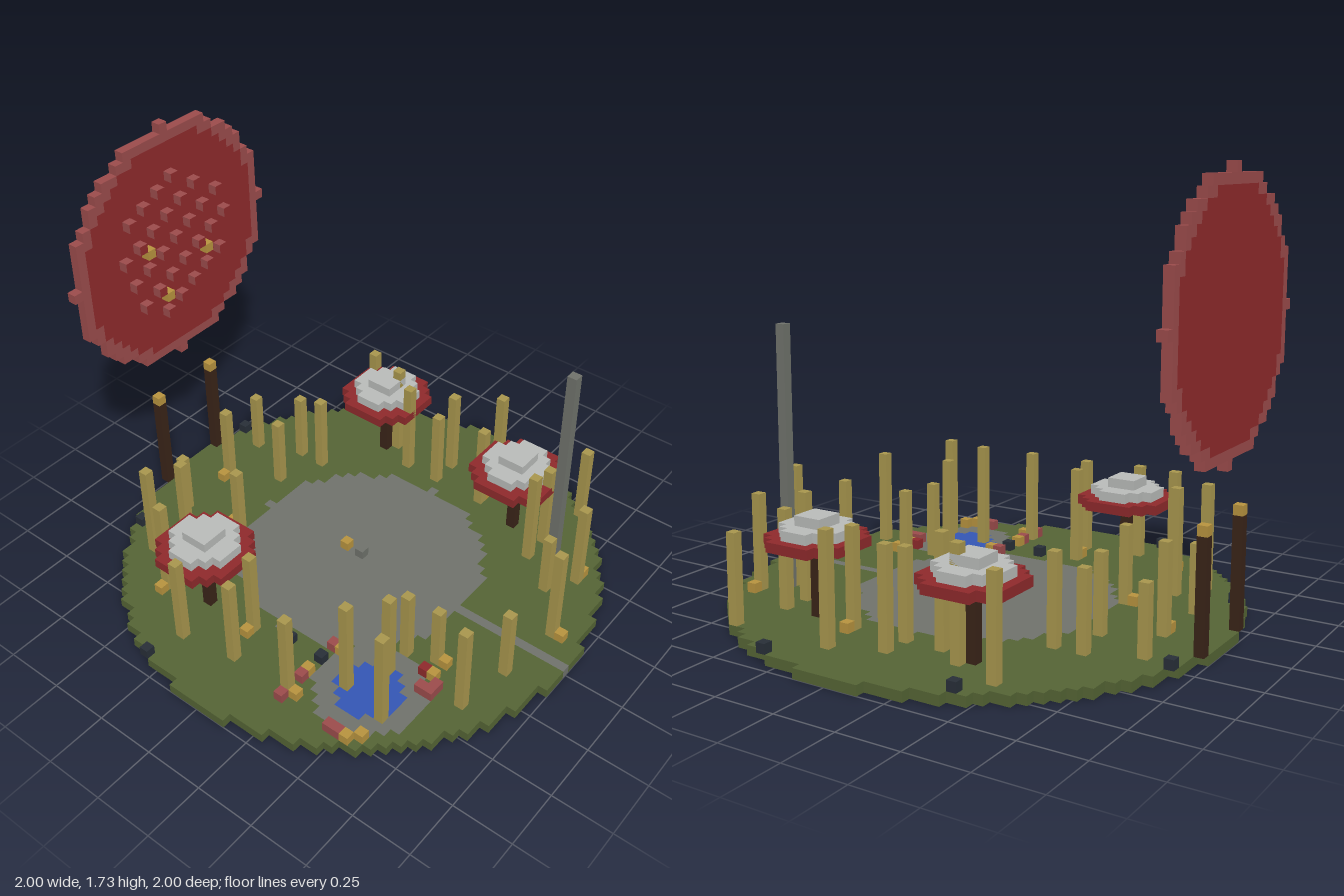
import * as THREE from 'three';
import { mergeGeometries } from 'three/addons/utils/BufferGeometryUtils.js';

const U = 2 / 51; // size of one block

const mat = (name, color) => {
  const m = new THREE.MeshStandardMaterial({ color });
  m.name = name;
  return m;
};

export function createModel() {
  const M = {
    grass: mat('grass', 0x556535),
    stone: mat('stone', 0x70736c),
    paleStone: mat('pale stone', 0xbabcba),
    straw: mat('straw', 0xa9974e),
    gold: mat('gold', 0xb8943f),
    slate: mat('slate', 0x282f38),
    water: mat('water', 0x3457b5),
    wood: mat('dark wood', 0x3a2418),
    red: mat('red', 0x8f2a2c),
    rose: mat('rose', 0x9c4c4c),
  };
  const model = new THREE.Group();

  // Box covering whole blocks; x and z are block centres, y counts layers from the ground
  const block = (x, y, z, w = 1, h = 1, d = 1) =>
    new THREE.BoxGeometry(w * U, h * U, d * U).translate(x * U, (y + h / 2) * U, z * U);

  const add = (name, material, geos, parent = model) => {
    const mesh = new THREE.Mesh(mergeGeometries(geos), material);
    mesh.name = name;
    parent.add(mesh);
    return mesh;
  };

  // Fills a one-block-thick layer with row-wise runs, sorted by the colour pick(a, b) returns
  const layer = (r, pick, make) => {
    const out = {};
    for (let b = -r; b <= r; b++) {
      let start = -r;
      for (let a = -r; a <= r; a++) {
        const c = pick(a, b);
        if (a < r && pick(a + 1, b) === c) continue;
        if (c) (out[c] ??= []).push(make((start + a) / 2, b, a - start + 1));
        start = a + 1;
      }
    }
    return out;
  };

  // Ground disc with plaza, path and pond
  const ground = layer(25, (x, z) => {
    const d = x * x + z * z;
    const p = (x + 14) ** 2 + (z - 12) ** 2;
    if (d > 635) return null;
    if (p <= 10) return 'water';
    if (p <= 30 || d <= 169 || (x === 0 && z > 0)) return 'stone';
    return 'grass';
  }, (x, z, w) => block(x, 0, z, w));
  const groundNames = { grass: 'meadow', stone: 'plazaAndPath', water: 'pond' };
  for (const c in ground) add(groundNames[c], M[c], ground[c]);

  // Upright round shield at the back
  const shield = new THREE.Group();
  shield.name = 'shield';
  model.add(shield);
  const plate = layer(13, (x, y) => {
    const d = x * x + y * y;
    return d > 169 ? null : d >= 144 ? 'rose' : 'red';
  }, (x, y, w) => block(x, 30 + y, -25, w));
  add('shieldRim', M.rose, plate.rose, shield);
  add('shieldFace', M.red, plate.red, shield);

  // Studs on a slanted lattice, red in front and rose on the sides
  for (let y = -8; y <= 8; y++) {
    for (let x = -8; x <= 8; x++) {
      if (x * x + y * y > 64 || (((x - 2 * y) % 7) + 7) % 7 !== 5) continue;
      const stud = new THREE.Mesh(block(x, 30 + y, -24),
        [M.rose, M.rose, M.rose, M.rose, M.red, M.rose]);
      stud.name = 'shieldStud';
      shield.add(stud);
    }
  }
  add('goldStuds', M.gold, [[-4, 1], [4, -2], [-2, -5]].map(([x, y]) => block(x, 30 + y, -24)), shield);

  // Round-roofed shelters on a single trunk
  for (const [x, z] of [[-15, -8], [16, -9], [14, 10]]) {
    const hut = new THREE.Group();
    hut.name = 'shelter';
    hut.position.set(x * U, 0, z * U);
    model.add(hut);
    const disc = (r, r2, y) =>
      layer(r, (a, b) => (a * a + b * b <= r2 ? 'c' : null), (a, b, w) => block(a, y, b, w)).c;
    add('trunk', M.wood, [block(0, 1, 0, 1, 7)], hut);
    add('roofEaves', M.red, disc(4, 20, 8), hut);
    add('roofTop', M.paleStone, [...disc(3, 10, 9), block(0, 10, 0, 3, 1, 3)], hut);
  }

  // Straw poles: x, z, height
  const poles = [
    [1, -20, 9], [-6, -20, 7], [-13, -18, 11], [7, -21, 7], [-10, -16, 11], [9, -16, 8],
    [4, -15, 8], [-5, -13, 8], [9, -13, 9], [-16, -13, 11], [19, -13, 10], [17, -8, 11],
    [-20, -7, 10], [15, -5, 11], [-15, -2, 10], [-19, -1, 10], [15, -1, 9], [18, -1, 10],
    [20, 4, 11], [15, 5, 10], [-19, 6, 10], [-15, 10, 11], [-11, 12, 10], [-8, 12, 8],
    [-16, 15, 11], [-7, 15, 7], [20, 15, 9], [14, 14, 10], [11, 14, 11], [8, 18, 7],
    [11, 20, 10], [-10, 20, 10], [-4, 21, 8], [3, 22, 11],
  ];
  add('poles', M.straw, poles.map(([x, z, h]) => block(x, 1, z, 1, h)));

  // Loose blocks on the ground
  const scatter = (name, material, list) =>
    add(name, material, list.map(([x, z]) => block(x, 1, z)));
  scatter('goldBlocks', M.gold, [
    [0, -20], [-5, -14], [-17, -13], [-15, -13], [-16, -2], [0, -2], [16, 5], [-19, 7],
    [-16, 6], [-12, 7], [-20, 14], [-19, 15], [-9, 16], [-7, 16], [12, 20], [3, 23],
  ]);
  scatter('roseBlocks', M.rose, [
    [-20, 6], [-17, 6], [-12, 6], [-20, 12], [-20, 13], [-11, 16], [-11, 17], [-10, 17],
  ]);
  scatter('redBlocks', M.red, [[-9, 10], [-9, 15]]);
  scatter('slateBlocks', M.slate, [
    [-11, -22], [8, -24], [-24, -8], [22, -11], [24, 8], [-14, 2], [-14, 6],
  ]);

  // Centre stone and tall mast
  add('centreStone', M.stone, [block(0, 1, 0)]);
  add('mast', M.stone, [block(9, 1, 18, 1, 27)]);

  // Pair of torches below the shield
  for (const x of [-4, 4]) {
    add('torchPost', M.wood, [block(x, 1, -25, 1, 11)]);
    add('torchTop', M.gold, [block(x, 12, -25)]);
  }
  return model;
}
